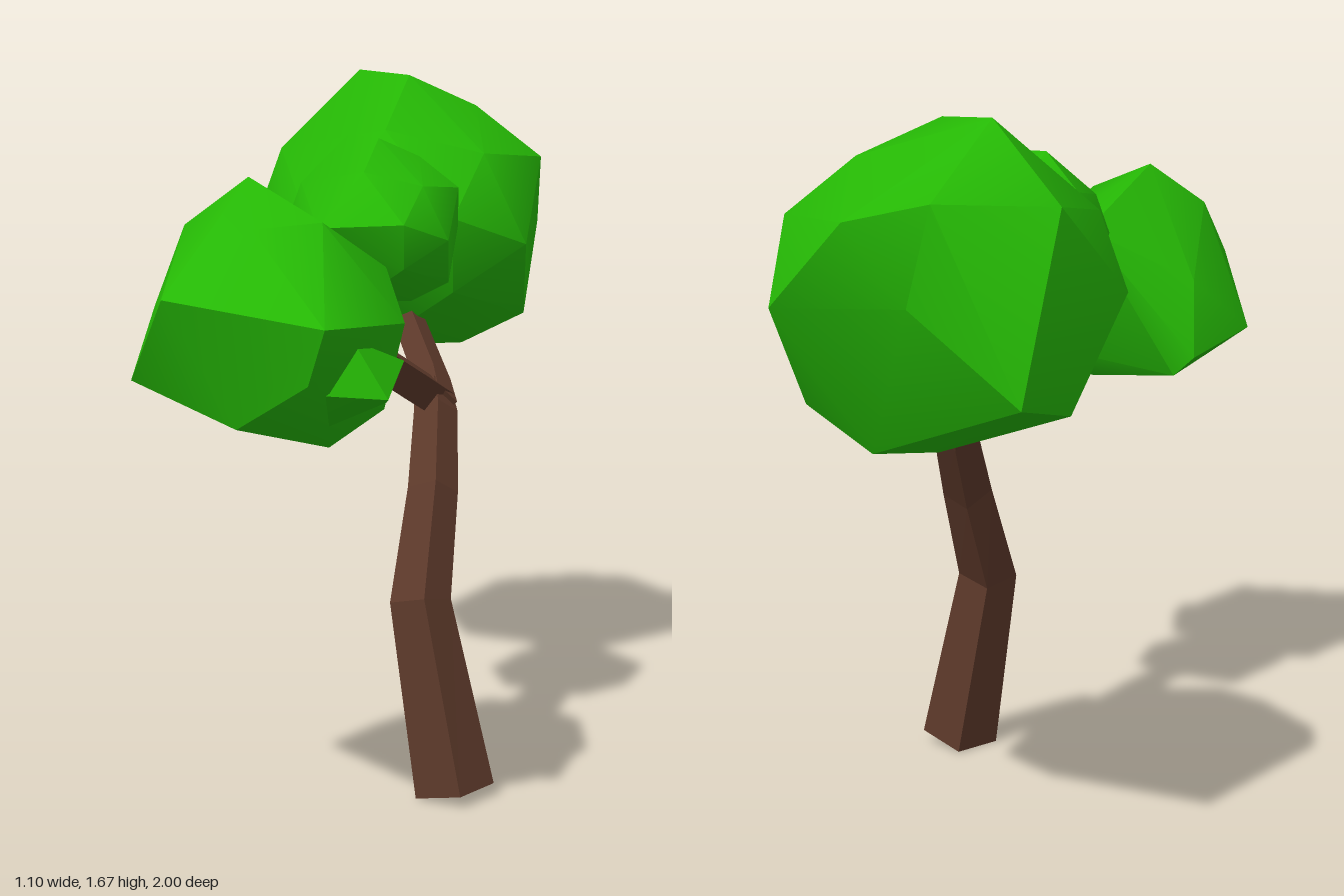
import * as THREE from 'three';
import { ConvexGeometry } from 'three/addons/geometries/ConvexGeometry.js';
import { toCreasedNormals } from 'three/addons/utils/BufferGeometryUtils.js';

const V = (p) => new THREE.Vector3(...p);

// Four-sided tapering limb along a path of [x, y, z, radius]
function limbGeometry(path) {
  const pts = path.map((p) => V(p.slice(0, 3)));
  const pos = [], index = [];
  pts.forEach((p, i) => {
    const t = pts[Math.min(i + 1, pts.length - 1)].clone().sub(pts[Math.max(i - 1, 0)]).normalize();
    const u = new THREE.Vector3(1, 0, 0).addScaledVector(t, -t.x).normalize();
    const v = new THREE.Vector3().crossVectors(t, u);
    for (let k = 0; k < 4; k++) {
      const a = (k * Math.PI) / 2;
      const c = p.clone().addScaledVector(u, Math.cos(a) * path[i][3]).addScaledVector(v, Math.sin(a) * path[i][3]);
      pos.push(c.x, c.y, c.z);
    }
  });
  for (let i = 0; i < pts.length - 1; i++) {
    for (let k = 0; k < 4; k++) {
      const a = i * 4 + k, b = i * 4 + ((k + 1) % 4);
      index.push(a, b, b + 4, a, b + 4, a + 4);
    }
  }
  const e = (pts.length - 1) * 4;
  index.push(0, 2, 1, 0, 3, 2, e, e + 1, e + 2, e, e + 2, e + 3);
  const g = new THREE.BufferGeometry();
  g.setAttribute('position', new THREE.Float32BufferAttribute(pos, 3));
  g.setIndex(index);
  const flat = g.toNonIndexed();
  flat.computeVertexNormals();
  return flat;
}

// Faceted leaf clump: hull of a few corners, gentle edges smoothed
const clumpGeometry = (corners) => toCreasedNormals(new ConvexGeometry(corners.map(V)), 0.65);

export function createModel() {
  const bark = new THREE.MeshStandardMaterial({ color: 0x5e3a2b });
  bark.name = 'bark brown';
  const leaf = new THREE.MeshStandardMaterial({ color: 0x25b805 });
  leaf.name = 'leaf green';

  const tree = new THREE.Group();
  tree.name = 'tree';
  const add = (name, geometry, material) => {
    const mesh = new THREE.Mesh(geometry, material);
    mesh.name = name;
    tree.add(mesh);
    return mesh;
  };

  // Trunk and branches
  add('trunk', limbGeometry([
    [0.195, 0.015, 0.285, 0.094], [0.12, 0.46, 0.22, 0.072],
    [0.165, 0.7, 0.09, 0.06], [0.188, 0.87, -0.04, 0.053], [0.185, 0.92, -0.09, 0.046],
  ]), bark);
  add('backBranch', limbGeometry([
    [0.19, 0.89, -0.04, 0.05], [0.192, 0.93, -0.14, 0.045], [0.165, 1.05, -0.42, 0.042], [0.16, 1.1, -0.52, 0.038],
  ]), bark);
  add('frontBranch', limbGeometry([
    [0.19, 0.895, -0.09, 0.052], [0.1, 0.965, 0.06, 0.052], [-0.01, 1.05, 0.25, 0.05], [-0.11, 1.18, 0.48, 0.04],
  ]), bark);
  add('smallBranch', limbGeometry([
    [-0.01, 1.05, 0.25, 0.045], [-0.015, 1.11, 0.22, 0.036], [-0.005, 1.24, 0.18, 0.03],
  ]), bark);

  // Large back clump, repeated smaller over the front branch
  const round = clumpGeometry([
    [0.08, 1.67, -0.82], [0.19, 1.66, -0.62], [0.37, 1.58, -0.65], [0.53, 1.45, -0.57],
    [0.55, 1.27, -0.73], [0.38, 1.47, -0.93], [0.2, 1.51, -0.97], [0.02, 1.1, -1.0],
    [0.25, 1.3, -0.965], [-0.06, 1.5, -0.92], [-0.14, 1.47, -0.68], [-0.2, 1.3, -0.7],
    [-0.16, 1.32, -0.5], [-0.1, 1.3, -0.32], [0.25, 1.32, -0.2], [0.46, 1.24, -0.37],
    [0.1, 1.53, -0.37], [0.49, 1.04, -0.58], [0.34, 0.95, -0.68], [0.2, 0.95, -0.66],
    [0.14, 1.02, -0.43], [0.26, 1.13, -0.27], [-0.08, 1.1, -0.5], [-0.08, 1.06, -0.83],
    [0.35, 1.47, -0.37],
  ]);
  add('backFoliage', round, leaf);
  const middle = add('middleFoliage', round, leaf);
  middle.scale.setScalar(0.54);
  middle.position.set(-0.07, 0.637, 0.44);

  // Jagged front clump with a fold at its lower corner
  add('frontFoliage', clumpGeometry([
    [-0.29, 1.47, 0.47], [-0.43, 1.37, 0.5], [-0.15, 1.39, 0.72], [-0.3, 1.38, 0.76],
    [-0.49, 1.25, 0.88], [-0.17, 1.2, 1.0], [-0.5, 1.22, 0.72], [-0.55, 1.04, 0.55],
    [-0.4, 1.18, 0.4], [-0.4, 0.99, 0.355], [-0.35, 0.94, 0.38], [-0.13, 1.31, 0.39],
    [0.0, 1.28, 0.56], [0.03, 1.18, 0.58], [0.02, 1.18, 0.74], [-0.01, 0.98, 0.62],
    [-0.13, 0.9, 0.63], [-0.34, 0.98, 0.86], [-0.2, 1.08, 0.95],
  ]), leaf);
  add('foliageFold', clumpGeometry([
    [-0.03, 1.04, 0.88], [-0.1, 1.16, 0.85], [0.02, 1.1, 0.73], [-0.01, 1.0, 0.66],
    [-0.14, 0.96, 0.72], [-0.22, 1.05, 0.85],
  ]), leaf);

  return tree;
}
